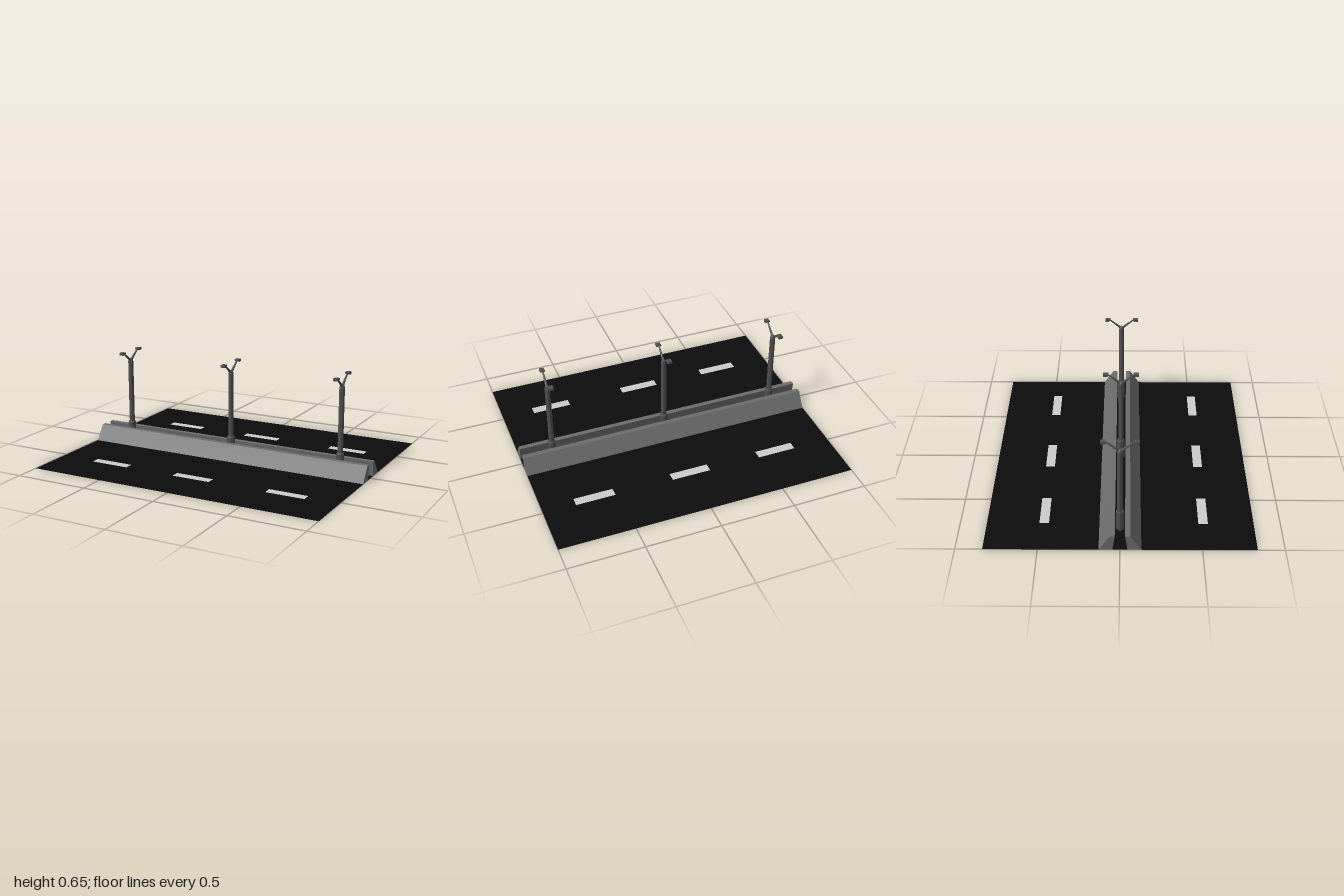
import * as THREE from 'three';

const paint = (color) => new THREE.MeshStandardMaterial({ color, flatShading: true, side: THREE.DoubleSide });

export function createModel() {
  const root = new THREE.Group();
  const asphalt = paint(0x0c0c0c), white = paint(0xcccccc);
  const concrete = paint(0x6c6c6c), metal = paint(0x505050);

  const add = (parent, name, geometry, material, x = 0, y = 0, z = 0) => {
    const mesh = new THREE.Mesh(geometry, material);
    mesh.name = name;
    mesh.position.set(x, y, z);
    parent.add(mesh);
    return mesh;
  };

  // Extrude a (z, y) outline along x, centred
  const extrudeX = (points, length) => {
    const shape = new THREE.Shape(points.map(([z, y]) => new THREE.Vector2(-z, y)));
    return new THREE.ExtrudeGeometry(shape, { depth: length, bevelEnabled: false })
      .translate(0, 0, -length / 2).rotateY(Math.PI / 2);
  };

  // Road sheet
  add(root, 'road', new THREE.PlaneGeometry(2, 1.667).rotateX(-Math.PI / 2), asphalt);

  // Lane dashes, three per carriageway
  const dash = new THREE.PlaneGeometry(0.263, 0.06).rotateX(-Math.PI / 2);
  for (const z of [-0.475, 0.518])
    for (const x of [-0.617, -0.002, 0.654]) add(root, 'laneDash', dash, white, x, 0.002, z);

  // Sloped barriers on both sides of the median
  for (const s of [1, -1]) {
    const outline = [[0.13, 0], [0.063, 0.1], [0.031, 0.1], [0.046, 0]].map(([z, y]) => [s * z, y]);
    add(root, 'barrier', extrudeX(outline, 2), concrete);
  }

  // Lamp post: base collar, pole and pointed cap in one turned profile
  const profile = [[0, 0], [0.026, 0], [0.026, 0.132], [0.022, 0.14], [0.018, 0.14],
    [0.018, 0.57], [0.014, 0.582], [0, 0.595]].map(([r, y]) => new THREE.Vector2(r, y));
  const post = new THREE.LatheGeometry(profile, 12);

  // Tapered arm running from the cap up to the lamp head
  const from = new THREE.Vector3(0, 0.578, 0.004), to = new THREE.Vector3(0, 0.643, 0.086);
  const dir = to.clone().sub(from);
  const arm = new THREE.CylinderGeometry(0.005, 0.009, dir.length(), 8)
    .applyQuaternion(new THREE.Quaternion().setFromUnitVectors(new THREE.Vector3(0, 1, 0), dir.clone().normalize()))
    .translate(...from.clone().add(to).multiplyScalar(0.5).toArray());

  // Lamp head, underside sloping up towards the arm
  const head = extrudeX([[0.082, 0.65], [0.082, 0.641], [0.092, 0.633], [0.117, 0.633], [0.117, 0.65]], 0.03);

  for (const x of [-0.79, 0, 0.79]) {
    const lamp = new THREE.Group();
    lamp.name = 'streetLamp';
    lamp.position.x = x;
    add(lamp, 'post', post, metal);
    for (const turn of [0, Math.PI]) {
      add(lamp, 'arm', arm, metal).rotation.y = turn;
      add(lamp, 'lampHead', head, metal).rotation.y = turn;
    }
    root.add(lamp);
  }
  return root;
}
